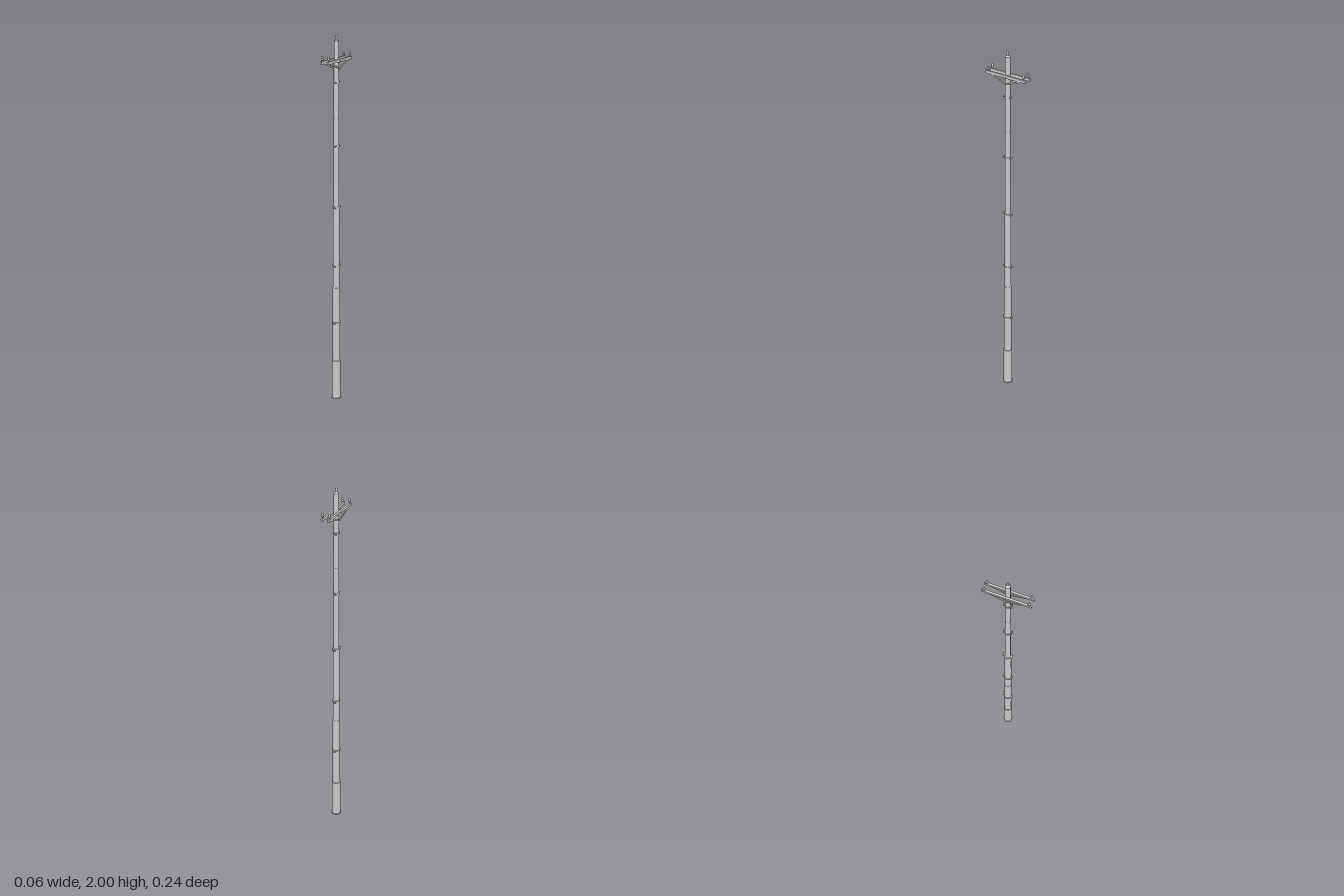
import * as THREE from 'three';

const material = new THREE.MeshStandardMaterial({ color: 0xcccccc, side: THREE.DoubleSide });

function add(parent, name, geometry, x = 0, y = 0, z = 0) {
  const mesh = new THREE.Mesh(geometry, material);
  mesh.name = name;
  mesh.position.set(x, y, z);
  parent.add(mesh);
  return mesh;
}

const tube = (rTop, rBottom, h, sides = 24) => new THREE.CylinderGeometry(rTop, rBottom, h, sides);
const lathe = (points, sides = 16) =>
  new THREE.LatheGeometry(points.map(([r, y]) => new THREE.Vector2(r, y)), sides);

// Pole sections: bottom height, top height, bottom radius, top radius
const sections = [
  [0, 0.23, 0.025, 0.0245],
  [0.23, 0.66, 0.0205, 0.02],
  [0.66, 1.11, 0.0185, 0.018],
  [1.11, 1.58, 0.0145, 0.014],
  [1.58, 1.97, 0.013, 0.0125],
];

// Two-part band with bolted lugs at front and back
function createClamp(y, r) {
  const clamp = new THREE.Group();
  clamp.name = 'clamp';
  clamp.position.y = y;
  add(clamp, 'band', tube(r + 0.003, r + 0.003, 0.009));
  for (const side of [-1, 1]) {
    for (const x of [-0.003, 0.003]) {
      add(clamp, 'lug', new THREE.BoxGeometry(0.003, 0.008, 0.009), x, 0, side * (r + 0.0045));
    }
    add(clamp, 'bolt', tube(0.0018, 0.0018, 0.022, 8), 0, 0, side * (r + 0.006)).rotation.z = Math.PI / 2;
    for (const x of [-0.009, 0.009]) {
      add(clamp, 'nut', tube(0.003, 0.003, 0.003, 6), x, 0, side * (r + 0.006)).rotation.z = Math.PI / 2;
    }
  }
  return clamp;
}

// Crossarm with its pin insulators and diagonal braces
function createCrossarm(side) {
  const arm = new THREE.Group();
  arm.name = 'crossarm';
  const x = side * 0.018;
  add(arm, 'beam', new THREE.BoxGeometry(0.01, 0.014, 0.238), x, 1.875, 0);
  for (const end of [-1, 1]) {
    add(arm, 'insulator', lathe([
      [0, 0], [0.003, 0], [0.003, 0.007], [0.0065, 0.008], [0.0065, 0.012],
      [0.0045, 0.014], [0.0045, 0.016], [0.0062, 0.018], [0.005, 0.023], [0, 0.025],
    ]), x, 1.881, end * 0.106);
    const from = new THREE.Vector3(x, 1.836, 0);
    const to = new THREE.Vector3(x, 1.868, end * 0.088);
    const brace = add(arm, 'brace', new THREE.BoxGeometry(0.005, 0.007, from.distanceTo(to)));
    brace.position.copy(from).lerp(to, 0.5);
    brace.lookAt(to);
  }
  return arm;
}

export function createModel() {
  const model = new THREE.Group();
  model.name = 'utilityPole';

  // Stepped pole and base rim
  for (const [y0, y1, r0, r1] of sections) {
    add(model, 'poleSection', tube(r1, r0, y1 - y0), 0, (y0 + y1) / 2, 0);
  }
  add(model, 'baseRim', tube(0.028, 0.028, 0.006), 0, 0.003, 0);

  // Evenly spaced clamps
  const clamps = [[0.455, 0.0205], [0.785, 0.0185], [1.11, 0.018], [1.437, 0.0143], [1.765, 0.013]];
  for (const [y, r] of clamps) model.add(createClamp(y, r));

  // Twin crossarms, one each side of the pole
  for (const side of [-1, 1]) model.add(createCrossarm(side));

  // Through bolts holding the crossarms and braces
  for (const y of [1.836, 1.875]) {
    add(model, 'throughBolt', tube(0.0025, 0.0025, 0.05, 8), 0, y, 0).rotation.z = Math.PI / 2;
  }

  // Cap and top insulator
  add(model, 'topInsulator', lathe([
    [0.0125, 0], [0.0095, 0.004], [0.004, 0.005], [0.004, 0.01], [0.0065, 0.012], [0.0065, 0.016],
    [0.0042, 0.018], [0.0042, 0.021], [0.0055, 0.023], [0.004, 0.028], [0, 0.03],
  ]), 0, 1.97, 0);

  return model;
}
